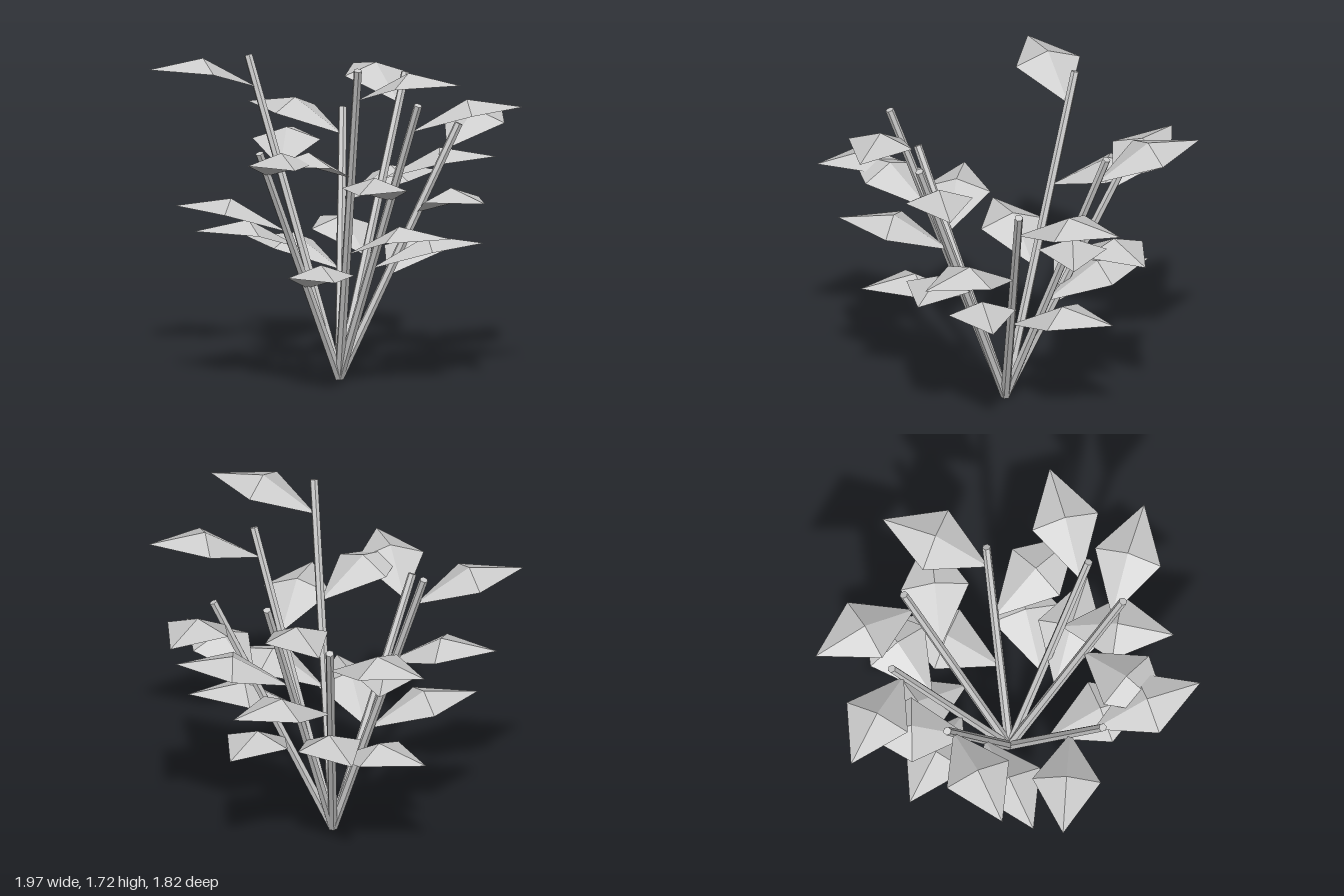
import * as THREE from 'three';

const ROOT = new THREE.Vector3(-0.015, 0.008, 0.08);
// Tip of each stem, fanning out from the shared root
const STEM_TIPS = [
  [-0.17, 1.52, -0.51],
  [-0.46, 1.32, -0.335],
  [0.36, 1.33, -0.41],
  [0.6, 1.505, 0.08],
  [0.5, 1.71, 0.405],
  [0.04, 1.25, 0.675],
  [-0.61, 1.63, 0.18],
];
const LEAF_HEIGHTS = [0.4, 0.65, 0.9]; // fraction along the stem

// Folded kite of four triangles, pointing along +x with its raised middle at half length
function leafGeometry() {
  const base = [0, 0, 0], tip = [0.59, 0.12, 0], peak = [0.295, 0.167, 0];
  const left = [0.295, 0.105, -0.177], right = [0.295, 0.105, 0.177];
  const corners = [base, right, tip, left];
  const points = corners.flatMap((c, i) => [...c, ...corners[(i + 1) % 4], ...peak]);
  const geometry = new THREE.BufferGeometry();
  geometry.setAttribute('position', new THREE.Float32BufferAttribute(points, 3));
  geometry.computeVertexNormals();
  return geometry;
}

export function createModel() {
  const model = new THREE.Group();
  model.name = 'leafyPlant';
  const stemMaterial = new THREE.MeshStandardMaterial({ color: 0xcccccc, flatShading: true });
  const leafMaterial = new THREE.MeshStandardMaterial({
    color: 0xcccccc, flatShading: true, side: THREE.DoubleSide,
  });
  const leafShape = leafGeometry();
  const up = new THREE.Vector3(0, 1, 0);

  STEM_TIPS.forEach((end) => {
    const branch = new THREE.Group();
    branch.name = 'branch';
    const tip = new THREE.Vector3(...end);
    const direction = tip.clone().sub(ROOT);

    // Thin, slightly tapered six-sided stem
    const stem = new THREE.Mesh(
      new THREE.CylinderGeometry(0.022, 0.025, direction.length(), 6), stemMaterial);
    stem.name = 'stem';
    stem.position.copy(ROOT).add(tip).multiplyScalar(0.5);
    stem.quaternion.setFromUnitVectors(up, direction.clone().normalize());
    branch.add(stem);

    // Leaves alternate one radian to either side of the stem's heading
    const heading = Math.atan2(direction.z, direction.x);
    LEAF_HEIGHTS.forEach((t, i) => {
      const leaf = new THREE.Mesh(leafShape, leafMaterial);
      leaf.name = 'leaf';
      leaf.position.lerpVectors(ROOT, tip, t);
      leaf.rotation.y = -(heading + (i % 2 ? 1 : -1));
      branch.add(leaf);
    });
    model.add(branch);
  });
  return model;
}
